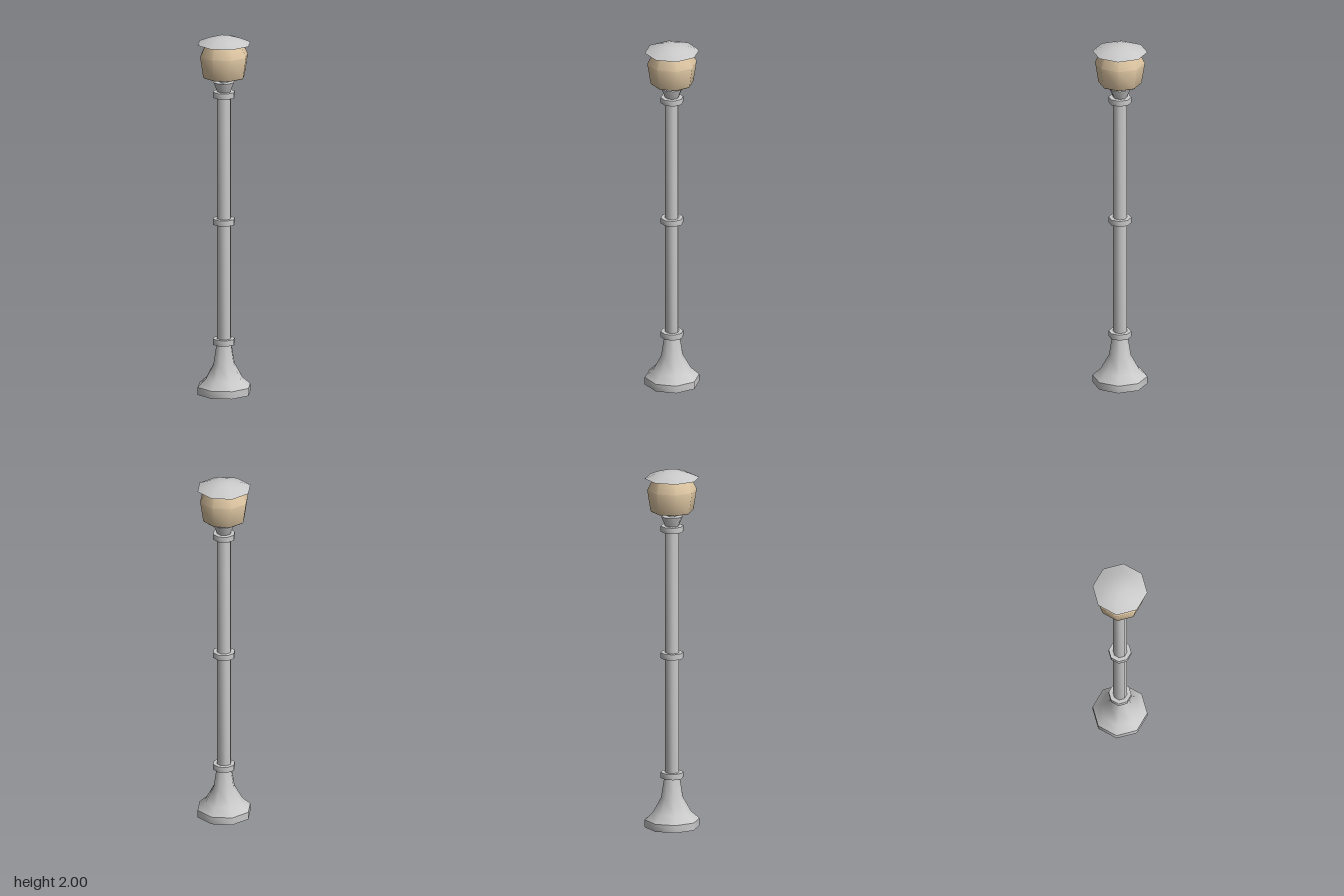
import * as THREE from 'three';
import { toCreasedNormals } from 'three/addons/utils/BufferGeometryUtils.js';

const SIDES = 8;

export function createModel() {
  const lamp = new THREE.Group();
  lamp.name = 'streetLamp';

  const metal = new THREE.MeshStandardMaterial({ color: 0xcacaca });
  metal.name = 'grey metal';
  const glass = new THREE.MeshStandardMaterial({ color: 0xe0c8a4 });
  glass.name = 'warm glass';

  // Eight-sided turned part from a profile of [radius, height], bottom to top
  function turned(name, material, profile) {
    const points = profile.map(([r, y]) => new THREE.Vector2(r, y));
    const geometry = toCreasedNormals(new THREE.LatheGeometry(points, SIDES), 0.82);
    const mesh = new THREE.Mesh(geometry, material);
    mesh.name = name;
    lamp.add(mesh);
  }

  // Foot: plinth and flared base
  turned('plinth', metal, [[0, 0], [0.15, 0], [0.15, 0.042]]);
  turned('flaredBase', metal, [[0.15, 0.042], [0.105, 0.083], [0.06, 0.165], [0.042, 0.28]]);

  // Post with three collars
  turned('post', metal, [[0.039, 0.27], [0.039, 1.67]]);
  for (const y of [0.29, 0.962, 1.673]) {
    const h = 0.016;
    turned('collar', metal, [[0, y - h], [0.062, y - h], [0.062, y + h], [0, y + h]]);
  }

  // Lamp holder
  turned('holder', metal, [[0.036, 1.685], [0.056, 1.733], [0.059, 1.743], [0, 1.743]]);
  turned('neck', metal, [[0.025, 1.74], [0.025, 1.765]]);

  // Glass globe
  turned('globe', glass, [[0, 1.752], [0.03, 1.754], [0.112, 1.77], [0.118, 1.776],
    [0.136, 1.892], [0.1, 1.965], [0, 1.965]]);

  // Shallow domed cap
  turned('cap', metal, [[0, 1.957], [0.15, 1.957], [0.095, 1.981], [0.045, 1.996], [0, 2]]);

  return lamp;
}
